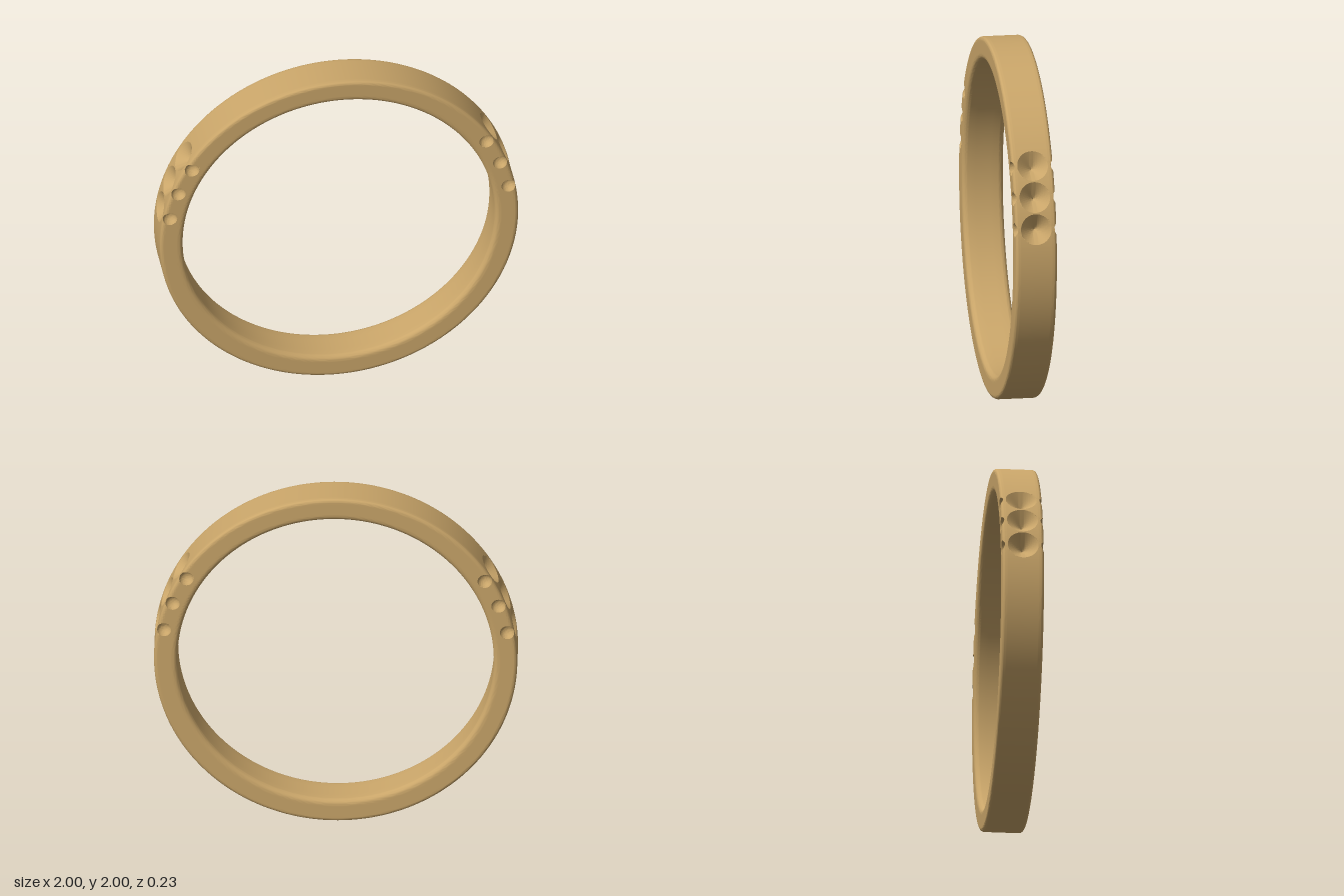
import * as THREE from 'three';
import { toCreasedNormals } from 'three/addons/utils/BufferGeometryUtils.js';

const OUTER = 1, INNER = 0.87, HALF = 0.115;      // band radii and half width
const EDGE = 0.02, COMFORT = 0.03;                // outer and inner edge rounding
const SOCKET = { r: 0.085, depth: 0.075 };        // conical stone seats
const DIMPLE = { r: 0.04, at: 0.962 };            // round bites in the side faces
const SNAP = 0.0026;                              // pulls nearby vertices onto a rim
const rad = THREE.MathUtils.degToRad;
const holes = [11, 21.2, 31.4].flatMap((a) => [rad(a), rad(180 - a)]);

// Half of the band's cross-section as [radius, z], from the outer middle to the inner middle
function halfProfile() {
  const pts = [];
  const line = (r0, z0, r1, z1, n) => {
    for (let i = 0; i < n; i++) pts.push([r0 + (r1 - r0) * i / n, z0 + (z1 - z0) * i / n]);
  };
  const arc = (r, z, rad0, from, to, n) => {
    for (let i = 0; i < n; i++) {
      const a = from + (to - from) * i / n;
      pts.push([r + Math.cos(a) * rad0, z + Math.sin(a) * rad0]);
    }
  };
  line(OUTER, 0, OUTER, HALF - EDGE, 20);
  arc(OUTER - EDGE, HALF - EDGE, EDGE, 0, Math.PI / 2, 7);
  line(OUTER - EDGE, HALF, 0.915, HALF, 15);
  line(0.915, HALF, INNER + COMFORT, HALF, 2);
  arc(INNER + COMFORT, HALF - COMFORT, COMFORT, Math.PI / 2, Math.PI, 7);
  line(INNER, HALF - COMFORT, INNER, 0, 2);
  pts.push([INNER, 0]);
  return pts;
}

// Height of the side face, including the rounded outer edge, at a radius
function sideZ(r) {
  const d = Math.max(0, Math.min(r, OUTER) - (OUTER - EDGE));
  return HALF - EDGE + Math.sqrt(Math.max(0, EDGE * EDGE - d * d));
}

// Sinks a vertex of the outer face into a conical socket
function carveSocket(p, angle) {
  const c = Math.cos(angle), s = Math.sin(angle);
  if (p.x * c + p.y * s < 0) return;
  let t = -p.x * s + p.y * c;
  let rho = Math.hypot(t, p.z);
  if (rho > SOCKET.r + SNAP) return;
  if (rho > SOCKET.r - SNAP) {
    t *= SOCKET.r / rho;
    p.z *= SOCKET.r / rho;
    rho = SOCKET.r;
  }
  const h = Math.sqrt(OUTER * OUTER - t * t) - SOCKET.depth * (1 - rho / SOCKET.r);
  p.set(c * h - s * t, s * h + c * t, p.z);
}

// Sinks a vertex of a side face into a hemispherical dimple
function carveDimple(p, angle) {
  const cx = Math.cos(angle) * DIMPLE.at, cy = Math.sin(angle) * DIMPLE.at;
  const dx = p.x - cx, dy = p.y - cy, rho = Math.hypot(dx, dy);
  if (rho > DIMPLE.r + SNAP) return;
  const f = rho > DIMPLE.r - SNAP ? 1 : rho / DIMPLE.r;
  const k = rho > 0 ? DIMPLE.r * Math.sin(f * Math.PI / 2) / rho : 0;
  let x = cx + dx * k, y = cy + dy * k;
  const r = Math.hypot(x, y);
  if (r > OUTER) { x *= OUTER / r; y *= OUTER / r; }
  const bowl = HALF - DIMPLE.r * Math.cos(f * Math.PI / 2);
  p.set(x, y, Math.sign(p.z) * Math.min(sideZ(r), bowl));
}

// Angles round the band, fine where it is carved
function columns() {
  const out = [];
  const span = (a, b, step) => {
    const n = Math.round((b - a) / step);
    for (let i = 0; i < n; i++) out.push(rad(a + (b - a) * i / n));
  };
  span(5.5, 37, 0.25);
  span(37, 143, 1.5);
  span(143, 174.5, 0.25);
  span(174.5, 365.5, 1.5);
  return out;
}

function bandGeometry() {
  const half = halfProfile();
  const back = half.slice(1, -1).reverse().map(([r, z]) => [r, -z]);
  const profile = [...half, ...back];
  const angles = columns();
  const n = profile.length, m = angles.length;
  const pos = [], index = [];
  const p = new THREE.Vector3();
  angles.forEach((a, i) => {
    profile.forEach(([r, z], j) => {
      p.set(Math.cos(a) * r, Math.sin(a) * r, z);
      const flat = r > OUTER - 1e-6 && Math.abs(z) < HALF - EDGE - 1e-6;
      const side = !flat && Math.abs(z) > HALF - EDGE - 1e-6 && r > 0.9;
      for (const hole of holes) {
        if (flat) carveSocket(p, hole);
        else if (side) carveDimple(p, hole);
      }
      pos.push(p.x, p.y, p.z);
      const i1 = (i + 1) % m, j1 = (j + 1) % n;
      const A = i * n + j, B = i1 * n + j, C = i1 * n + j1, D = i * n + j1;
      index.push(A, B, D, B, C, D);
    });
  });
  const g = new THREE.BufferGeometry();
  g.setAttribute('position', new THREE.Float32BufferAttribute(pos, 3));
  g.setIndex(index);
  return toCreasedNormals(g, 0.5);
}

export function createModel() {
  const group = new THREE.Group();
  group.name = 'ring';
  const band = new THREE.Mesh(bandGeometry(), new THREE.MeshStandardMaterial({ color: 0xc9a569 }));
  band.name = 'band';
  band.position.y = OUTER;
  group.add(band);
  return group;
}
